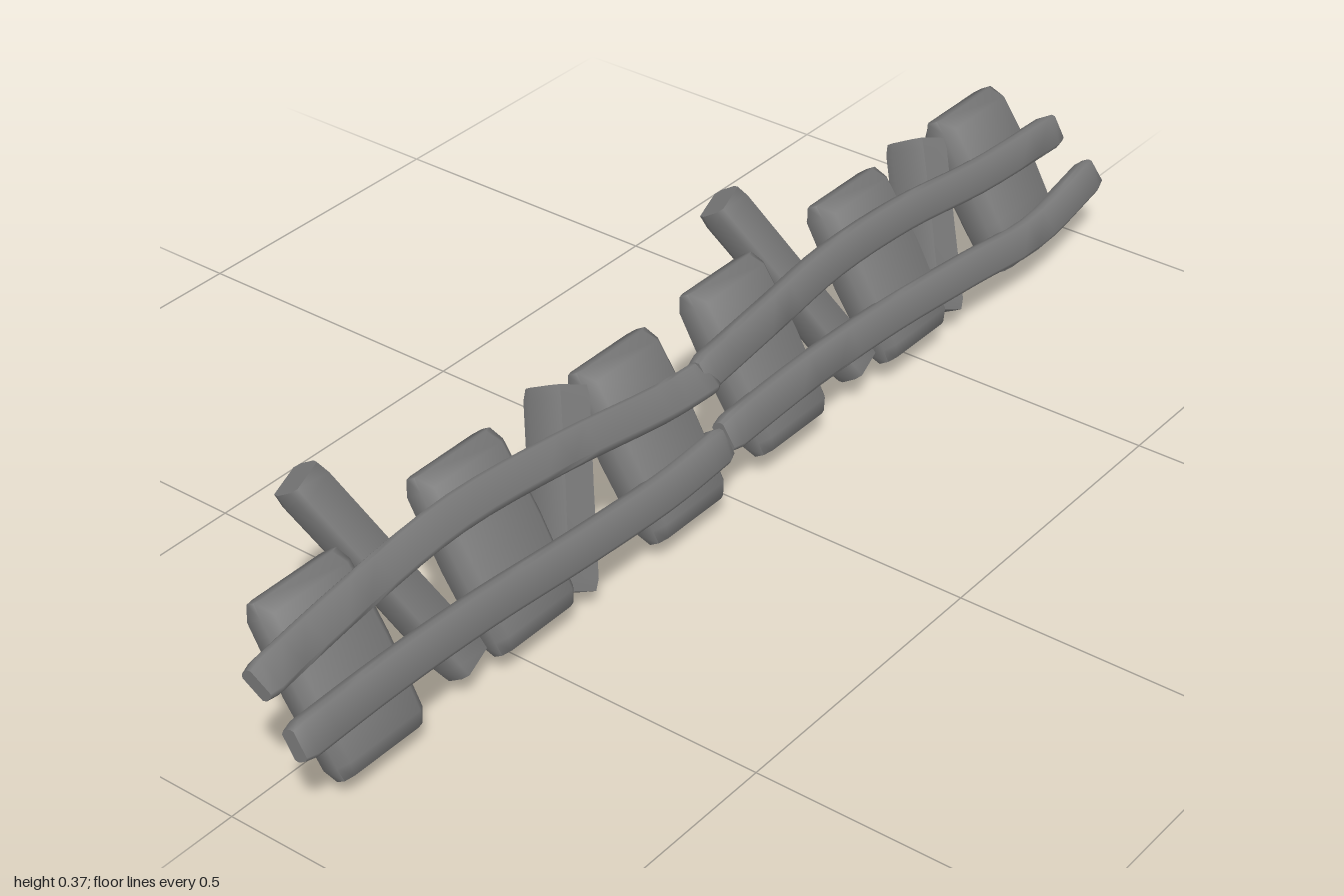
import * as THREE from 'three';
import { toCreasedNormals } from 'three/addons/utils/BufferGeometryUtils.js';

const V = (x, y, z) => new THREE.Vector3(x, y, z);
const FACING = V(0.85, 0.53, 0).normalize(); // the way the leaning boards face

// Chamfered rectangle, half sizes 1
const RING = [[1, -0.55], [1, 0.55], [0.82, 1], [-0.82, 1], [-1, 0.55], [-1, -0.55], [-0.82, -1], [0.82, -1]];

// Sweeps the chamfered section along a curve; stations are [t, widthScale, thicknessScale]
function sweep(curve, width, thick, stations, facing = FACING) {
  const pos = [], idx = [], n = RING.length;
  for (const [t, ws, ts] of stations) {
    const p = curve.getPoint(t), T = curve.getTangent(t);
    const v = facing.clone().addScaledVector(T, -facing.dot(T)).normalize();
    const u = v.clone().cross(T);
    for (const [a, b] of RING) {
      const q = p.clone().addScaledVector(u, a * ws * width / 2).addScaledVector(v, b * ts * thick / 2);
      pos.push(q.x, q.y, q.z);
    }
  }
  const last = (stations.length - 1) * n;
  for (let i = 0; i < last; i += n) {
    for (let j = 0; j < n; j++) {
      const k = (j + 1) % n;
      idx.push(i + j, i + k, i + n + j, i + k, i + n + k, i + n + j);
    }
  }
  for (let j = 1; j < n - 1; j++) {
    idx.push(0, j + 1, j, last, last + j, last + j + 1);
  }
  const g = new THREE.BufferGeometry();
  g.setAttribute('position', new THREE.Float32BufferAttribute(pos, 3));
  g.setIndex(idx);
  return toCreasedNormals(g, 1.2);
}

export function createModel() {
  const group = new THREE.Group();
  const material = new THREE.MeshStandardMaterial({ color: 0x777777 });
  const add = (name, geometry) => {
    const mesh = new THREE.Mesh(geometry, material);
    mesh.name = name;
    group.add(mesh);
  };

  // Wide boards: [centre z, bottom y, top y, thickness]
  const boards = [
    [0.81, 0.033, 0.264, 0.06], [0.48, 0.04, 0.28, 0.064], [0.13, 0.035, 0.275, 0.07],
    [-0.138, 0.045, 0.278, 0.068], [-0.47, 0.045, 0.28, 0.07], [-0.81, 0.05, 0.283, 0.076],
  ];
  const boardStations = [[0, 0.88, 0.5], [0.08, 0.96, 0.92], [0.3, 0.98, 1],
    [0.5, 1, 1.03], [0.7, 0.99, 1], [0.92, 0.98, 0.92], [1, 0.9, 0.5]];
  boards.forEach(([z, y0, y1, thick], i) => {
    const xAt = (y) => 0.025 - (y - 0.15) * 0.62;
    const line = new THREE.LineCurve3(V(xAt(y0), y0, z), V(xAt(y1), y1, z));
    add(`board${i + 1}`, sweep(line, 0.178, thick, boardStations));
  });

  // Slanted slats between the boards: bottom point, top point, thickness
  const slats = [
    [V(0.07, 0.042, 0.6), V(-0.115, 0.345, 0.722), 0.058],
    [V(0.06, 0.025, 0.37), V(-0.063, 0.262, 0.235), 0.084],
    [V(0.072, 0.055, -0.343), V(-0.115, 0.345, -0.225), 0.058],
    [V(0.06, 0.037, -0.578), V(-0.063, 0.265, -0.69), 0.084],
  ];
  const slatStations = [[0, 0.92, 0.9], [0.06, 1, 1], [0.5, 0.96, 1], [0.94, 1, 1], [1, 0.92, 0.92]];
  slats.forEach(([a, b, thick], i) => {
    add(`slat${i + 1}`, sweep(new THREE.LineCurve3(a, b), 0.068, thick, slatStations));
  });

  // Wavy rails, two lengths each, meeting near the middle
  const railStations = [[0, 0.85, 0.75]];
  for (let i = 0; i <= 20; i++) railStations.push([0.02 + 0.96 * i / 20, 1, 1]);
  railStations.push([1, 0.85, 0.75]);
  const rails = {
    upperRailFront: [[0.067, 0.248, 0.997], [0.05, 0.262, 0.8], [0.039, 0.271, 0.58],
      [0.042, 0.252, 0.35], [0.055, 0.228, 0.13], [0.06, 0.226, 0.03]],
    upperRailBack: [[0.058, 0.232, 0.05], [0.042, 0.239, -0.15], [0.029, 0.245, -0.32],
      [0.027, 0.237, -0.52], [0.034, 0.215, -0.73], [0.04, 0.208, -0.957]],
    lowerRailFront: [[0.115, 0.165, 0.985], [0.106, 0.16, 0.8], [0.1, 0.148, 0.6],
      [0.096, 0.126, 0.38], [0.093, 0.113, 0.18], [0.088, 0.116, 0.03]],
    lowerRailBack: [[0.088, 0.126, 0.03], [0.084, 0.13, -0.18], [0.086, 0.125, -0.4],
      [0.095, 0.112, -0.62], [0.102, 0.1, -0.8], [0.095, 0.125, -0.998]],
  };
  for (const [name, points] of Object.entries(rails)) {
    const curve = new THREE.CatmullRomCurve3(points.map((p) => V(...p)));
    const facing = name === 'upperRailFront' ? V(0.66, 0.75, 0) : FACING;
    add(name, sweep(curve, 0.056, 0.032, railStations, facing));
  }
  return group;
}
